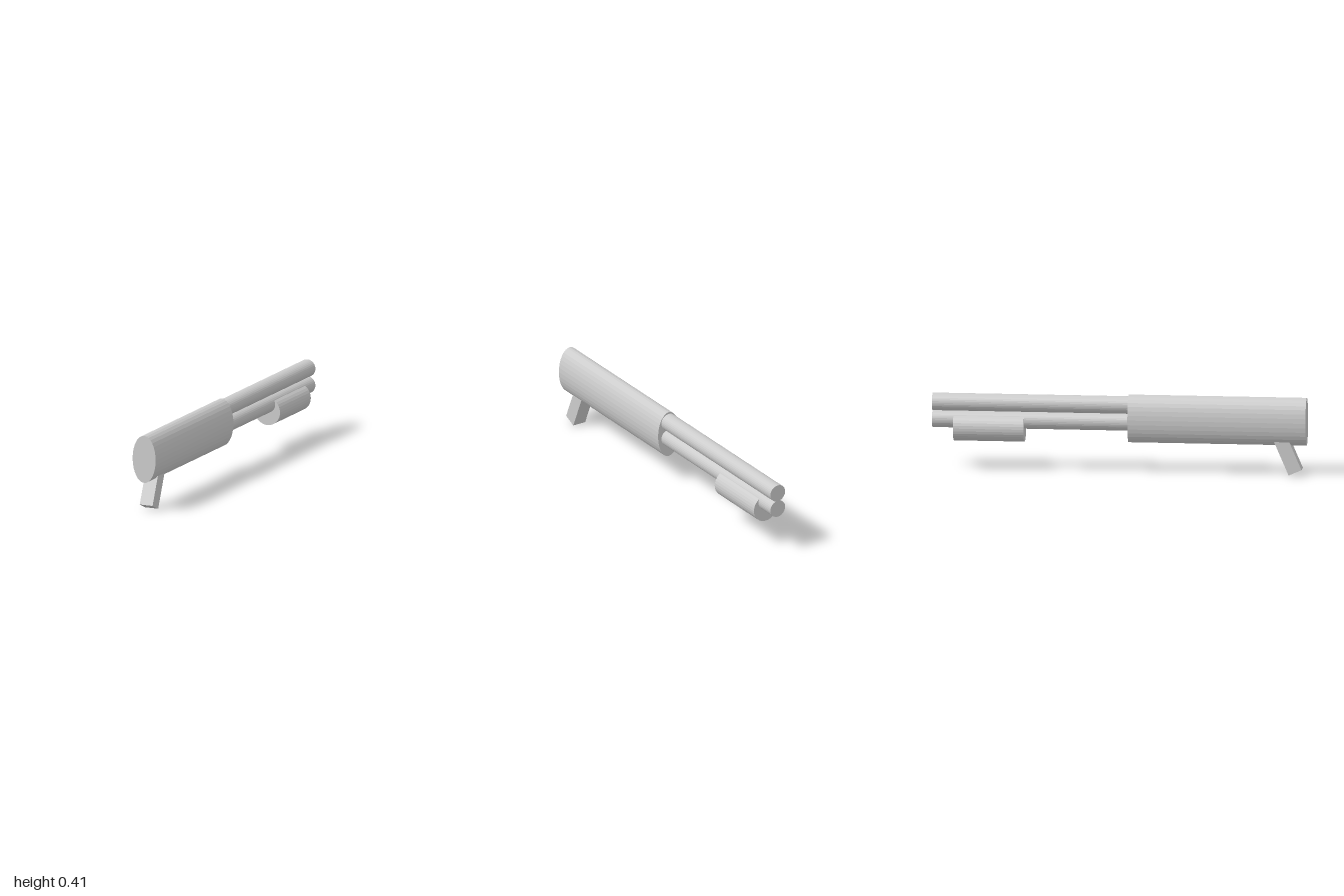
import * as THREE from 'three';

const material = new THREE.MeshStandardMaterial({ color: 0xcccccc, flatShading: true });

// Closed tube along z, elliptical when rx and ry differ
function tube(name, rx, ry, y, zBack, zFront) {
  const geometry = new THREE.CylinderGeometry(1, 1, zFront - zBack, 32);
  geometry.rotateX(Math.PI / 2);
  geometry.scale(rx, ry, 1);
  const mesh = new THREE.Mesh(geometry, material);
  mesh.name = name;
  mesh.position.set(0, y, (zBack + zFront) / 2);
  return mesh;
}

export function createModel() {
  const group = new THREE.Group();

  // Oval receiver and the two stacked tubes
  group.add(tube('body', 0.068, 0.129, 0.286, 0.047, 1));
  group.add(tube('upperBarrel', 0.047, 0.047, 0.358, -1, 0.1));
  group.add(tube('lowerBarrel', 0.047, 0.047, 0.267, -1, 0.1));

  // Sliding handle hanging on the lower tube
  group.add(tube('slideHandle', 0.0755, 0.0755, 0.226, -0.885, -0.508));

  // Slanted grip, its pivot at the bottom end and its top sunk in the body
  const length = 0.25;
  const gripGeometry = new THREE.BoxGeometry(0.076, length, 0.075);
  gripGeometry.translate(0, length / 2, 0);
  const grip = new THREE.Mesh(gripGeometry, material);
  grip.name = 'grip';
  grip.position.set(0, 0.015, 0.941);
  grip.rotation.x = -0.41;
  group.add(grip);

  return group;
}
